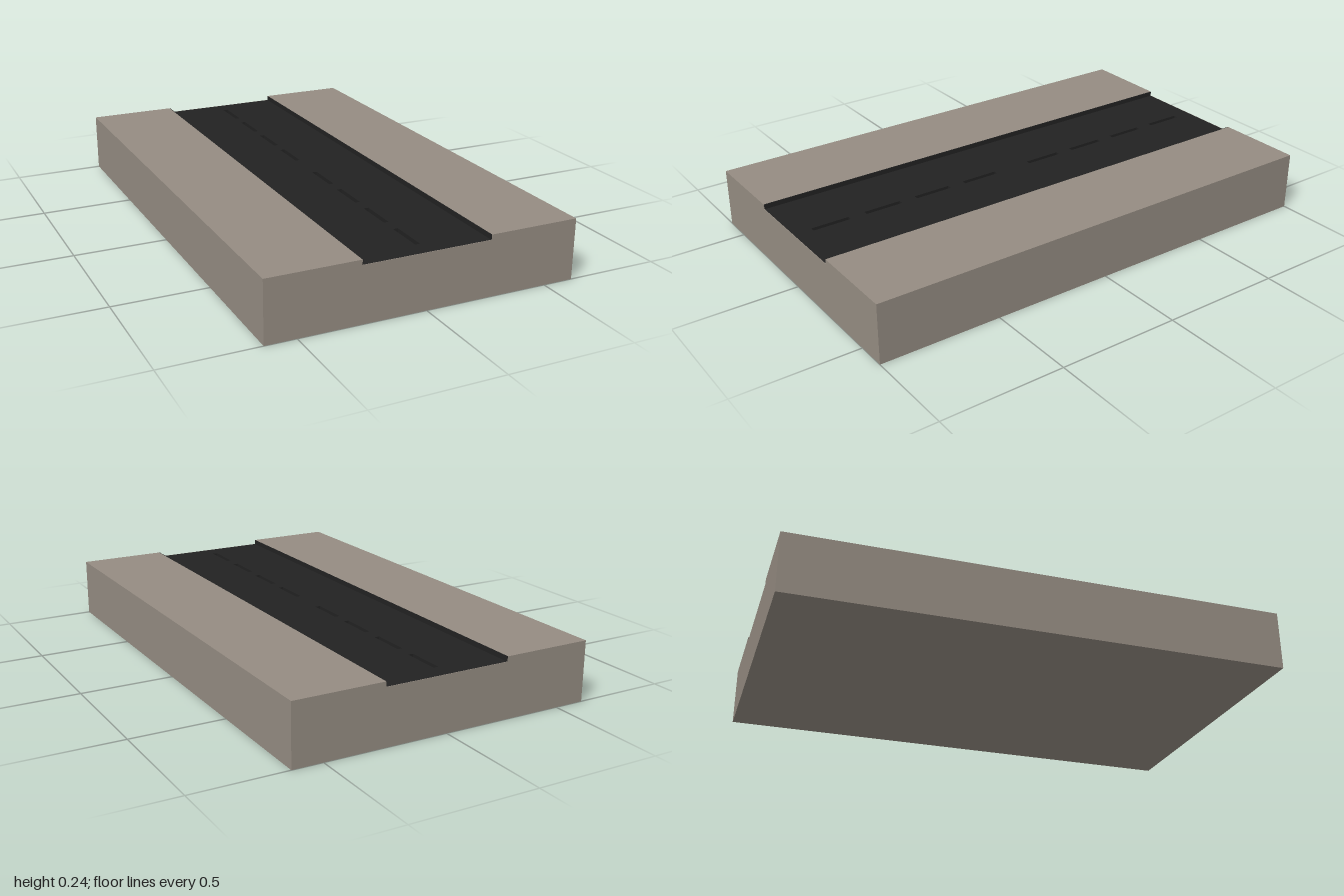
import * as THREE from 'three';

const stone = new THREE.MeshStandardMaterial({ color: 0x958c82 });
stone.name = 'stone';
const asphalt = new THREE.MeshStandardMaterial({ color: 0x222222 });
asphalt.name = 'asphalt';

const W = 0.622, ROAD = 0.255, TOP = 0.243, SURFACE = 0.223, BED = 0.203;
const LINER = 0.003, CAP = 0.002;

export function createModel() {
  const group = new THREE.Group();
  const add = (name, geometry, material, x = 0, y = 0, z = 0) => {
    const mesh = new THREE.Mesh(geometry, material);
    mesh.name = name;
    mesh.position.set(x, y, z);
    group.add(mesh);
    return mesh;
  };

  // Stone block with a channel along its length
  const c = ROAD + LINER;
  const profile = new THREE.Shape([
    [-W, 0], [W, 0], [W, TOP], [c, TOP], [c, BED], [-c, BED], [-c, TOP], [-W, TOP],
  ].map(([x, y]) => new THREE.Vector2(x, y)));
  const block = new THREE.ExtrudeGeometry(profile, { depth: 2, bevelEnabled: false });
  add('stoneBlock', block, stone, 0, 0, -1);

  // Asphalt slab with slots that reveal the stone as lane dashes
  const L = 1 - CAP;
  const rect = (Type, x0, x1, z0, z1) => new Type([
    new THREE.Vector2(x0, z0), new THREE.Vector2(x1, z0),
    new THREE.Vector2(x1, z1), new THREE.Vector2(x0, z1),
  ]);
  const slab = rect(THREE.Shape, -ROAD, ROAD, -L, L);
  for (const side of [-1, 1]) {
    for (let i = 0; i < 4; i++) {
      const mid = side * (0.162 + i * 0.227);
      slab.holes.push(rect(THREE.Path, -0.01, 0.01, mid - 0.079, mid + 0.079));
    }
  }
  const road = new THREE.ExtrudeGeometry(slab, { depth: SURFACE - BED, bevelEnabled: false });
  road.rotateX(-Math.PI / 2);
  add('roadSurface', road, asphalt, 0, BED, 0);

  for (const s of [-1, 1]) {
    // Dark kerb faces lining the channel
    add('kerbFace', new THREE.BoxGeometry(LINER, TOP - BED, 2 * L), asphalt,
      s * (ROAD + LINER / 2), (TOP + BED) / 2, 0);
    // Stone faces closing the road ends
    add('roadEnd', new THREE.BoxGeometry(2 * c, SURFACE - BED, CAP), stone,
      0, (SURFACE + BED) / 2, s * (1 - CAP / 2));
  }
  return group;
}
